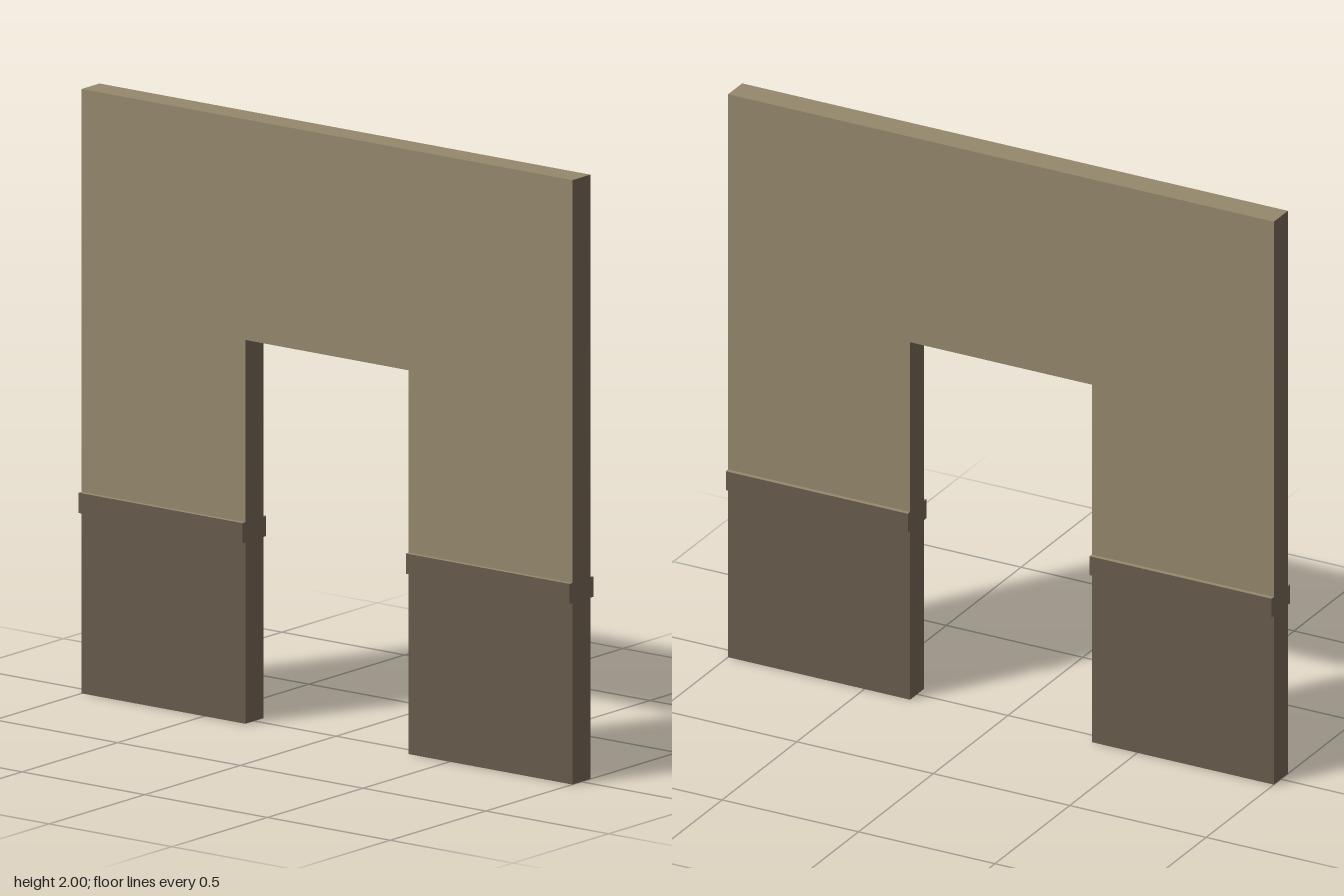
import * as THREE from 'three';

export function createModel() {
  const plaster = new THREE.MeshStandardMaterial({ color: 0x93866a });
  plaster.name = 'tan plaster';
  const wood = new THREE.MeshStandardMaterial({ color: 0x675a4b });
  wood.name = 'brown panelling';

  const WALL = 0.094, RAIL = 0.125;              // depths
  const DOOR = 0.333, DOOR_TOP = 1.27;           // opening half width and height
  const RAIL_LOW = 0.6, RAIL_HIGH = 0.667;

  const group = new THREE.Group();
  group.name = 'doorwayWall';

  // Box between two corners; faces are +x, -x, +y, -y, +z, -z, null leaves a face out
  function block(name, x0, x1, y0, y1, depth, faces) {
    const geometry = new THREE.BoxGeometry(x1 - x0, y1 - y0, depth);
    geometry.groups = geometry.groups.filter(g => faces[g.materialIndex]);
    const mesh = new THREE.Mesh(geometry, faces.map(f => f || plaster));
    mesh.name = name;
    mesh.position.set((x0 + x1) / 2, (y0 + y1) / 2, 0);
    group.add(mesh);
  }

  // Wall above the opening
  block('lintel', -1, 1, DOOR_TOP, 2, WALL, [wood, wood, plaster, plaster, plaster, plaster]);

  // Piers either side: panelled base, projecting rail, plaster above
  for (const [side, x0, x1] of [['left', DOOR, 1], ['right', -1, -DOOR]]) {
    block(side + 'Panelling', x0, x1, 0, RAIL_LOW, WALL, [wood, wood, null, plaster, wood, wood]);
    block(side + 'Rail', x0, x1, RAIL_LOW, RAIL_HIGH, RAIL, [wood, wood, plaster, plaster, wood, wood]);
    block(side + 'Pier', x0, x1, RAIL_HIGH, DOOR_TOP, WALL, [wood, wood, null, null, plaster, plaster]);
  }
  return group;
}
